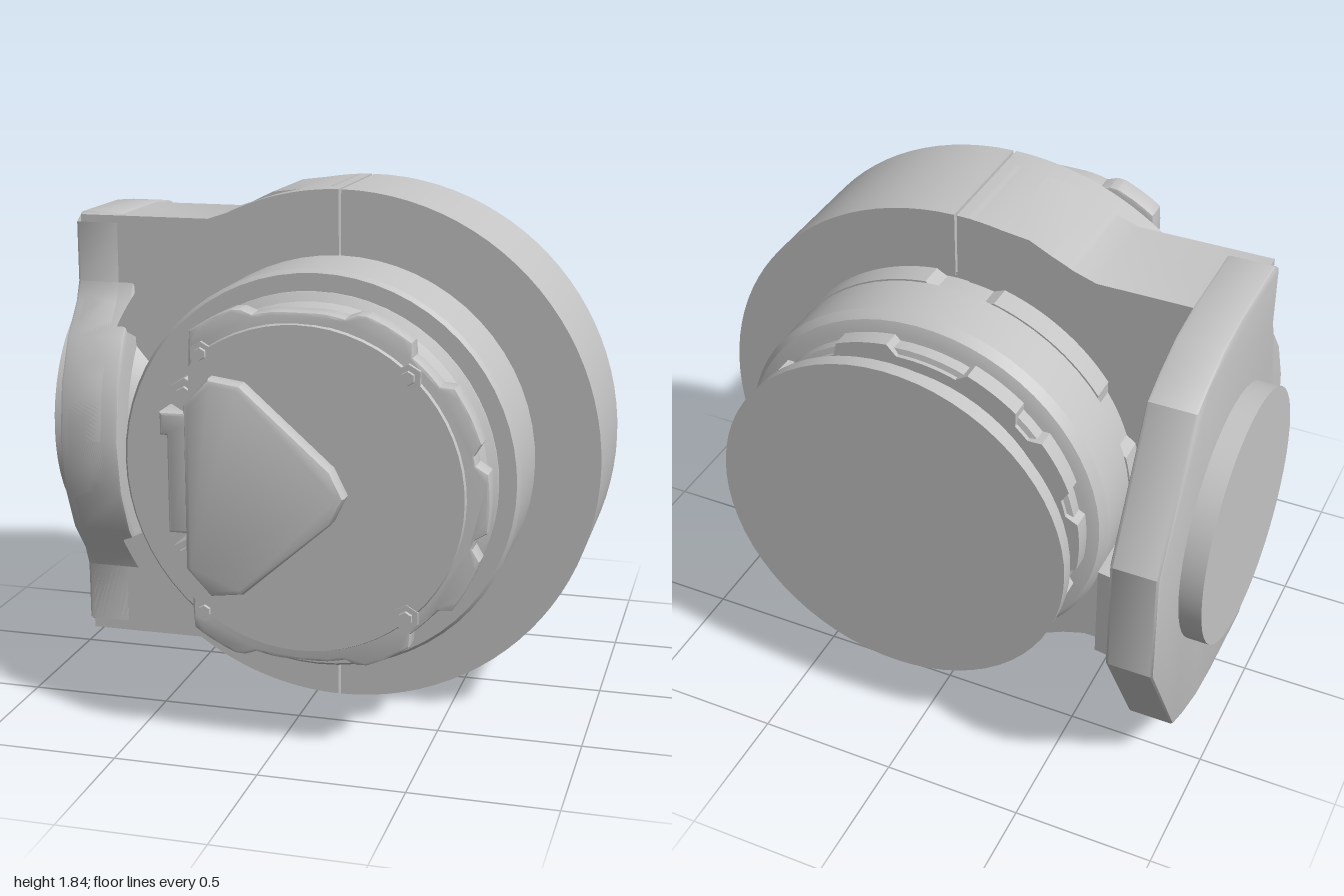
import * as THREE from 'three';
import { toCreasedNormals } from 'three/addons/utils/BufferGeometryUtils.js';

const CX = 0.087, CY = 0.92; // barrel axis, running along z
const PLATE_Z = -0.2; // centre of the side mount

export function createModel() {
  const model = new THREE.Group();
  const grey = new THREE.MeshStandardMaterial({ color: 0xc4c4c4 });
  grey.name = 'light grey metal';

  const add = (name, geometry, x = 0, y = 0, z = 0) => {
    const mesh = new THREE.Mesh(toCreasedNormals(geometry, 0.5), grey);
    mesh.name = name;
    mesh.position.set(x, y, z);
    model.add(mesh);
  };
  const polygon = (points) => new THREE.Shape(points.map(([x, y]) => new THREE.Vector2(x, y)));
  const extrude = (shape, depth, bevel = 0) => new THREE.ExtrudeGeometry(shape, {
    depth: depth - 2 * bevel, curveSegments: 24, bevelEnabled: bevel > 0,
    bevelThickness: bevel, bevelSize: bevel, bevelOffset: -bevel, bevelSegments: 2,
  }).translate(0, 0, bevel);
  // Solid of revolution about z from [radius, z] pairs in order of rising z
  const turned = (profile) => new THREE.LatheGeometry(
    profile.map(([r, z]) => new THREE.Vector2(r, z)), 64).rotateX(Math.PI / 2);
  // Flatten the left side and the top and bottom of a round part
  const clamp = (geometry, left, half) => {
    const p = geometry.attributes.position;
    for (let i = 0; i < p.count; i++) {
      p.setX(i, Math.max(p.getX(i), left));
      p.setY(i, THREE.MathUtils.clamp(p.getY(i), -half, half));
    }
    return geometry;
  };
  // Circle with raised lugs at the given angles (degrees)
  const luggedCircle = (inner, outer, lugs, width, left = -2, half = 2) => {
    const pts = [];
    for (let a = 0; a < 360; a += 3) {
      const onLug = lugs.some((l) => Math.abs(((a - l + 540) % 360) - 180) <= width / 2);
      const r = onLug ? outer : inner, t = THREE.MathUtils.degToRad(a);
      pts.push([Math.max(r * Math.cos(t), left), THREE.MathUtils.clamp(r * Math.sin(t), -half, half)]);
    }
    return polygon(pts);
  };

  // Main barrel, front to rear
  add('barrel', turned([[0, -0.53], [0.63, -0.53], [0.67, -0.515], [0.69, -0.48], [0.69, -0.295],
    [0.67, -0.29], [0.67, -0.2], [0.692, -0.2], [0.692, 0.555], [0.68, 0.572], [0, 0.572]]), CX, CY);

  // Clamp ring: right half, and left half broken where the mount joins
  const ringPart = (from, to) => {
    const a = THREE.MathUtils.degToRad(from), b = THREE.MathUtils.degToRad(to);
    const s = new THREE.Shape();
    s.absarc(0, 0, 0.918, a, b, false);
    s.absarc(0, 0, 0.68, b, a, true);
    return extrude(s, 0.475);
  };
  add('rightClampHalf', ringPart(-89.7, 89.7), CX, CY, -0.205);
  add('upperLeftClamp', ringPart(90.3, 154), CX, CY, -0.205);
  add('lowerLeftClamp', ringPart(206, 269.7), CX, CY, -0.205);

  // Rear collars and end disc
  add('rearCollar', extrude(luggedCircle(0.67, 0.695, [5, 65, 125, 185, 245, 305], 42), 0.09), CX, CY, -0.294);
  add('rearLugRing', extrude(luggedCircle(0.59, 0.63, [0, 30, 75, 120, 150, 180, 210, 240, 285, 330], 18), 0.065), CX, CY, -0.595);
  add('rearNeck', turned([[0, -0.68], [0.56, -0.68], [0.56, -0.665], [0.575, -0.66], [0.575, -0.625],
    [0.55, -0.615], [0.55, -0.59], [0.61, -0.575], [0.61, -0.52], [0, -0.52]]), CX, CY);
  add('rearDisc', turned([[0, -0.75], [0.643, -0.75], [0.643, -0.7], [0.61, -0.675], [0, -0.675]]), CX, CY);

  // Front neck and cover, flattened on one side
  add('frontNeck', clamp(turned([[0, 0.56], [0.625, 0.56], [0.62, 0.575], [0.59, 0.595], [0.575, 0.63],
    [0.575, 0.72], [0, 0.72]]), -0.375, 0.62), CX, CY);
  add('coverRim', extrude(luggedCircle(0.595, 0.63, [0, 28, 62, 118, 242, 298, 332], 21, -0.375, 0.59), 0.085, 0.01), CX, CY, 0.7);
  add('cover', clamp(turned([[0, 0.77], [0.56, 0.77], [0.55, 0.798], [0, 0.798]]), -0.37, 0.555), CX, CY);
  add('coverBoss', extrude(polygon([[-0.285, 0.64], [-0.2, 0.55], [-0.09, 0.565], [0.21, 0.83], [0.255, 0.92],
    [0.21, 1.01], [-0.09, 1.275], [-0.2, 1.29], [-0.285, 1.2]]), 0.08, 0.02), 0, 0, 0.78);

  // Hinge bar with bolts, and cover screws
  add('hingeBar', extrude(polygon([[-0.28, 0.71], [-0.4, 0.71], [-0.4, 1.05], [-0.425, 1.05],
    [-0.425, 1.13], [-0.28, 1.13]]), 0.13, 0.01), 0, 0, 0.57);
  const hex = (name, r, depth, x, y, z) => {
    add(name, new THREE.CylinderGeometry(r, r, depth, 6).rotateX(Math.PI / 2), x, y, z);
    add(name + 'Head', new THREE.CylinderGeometry(r * 0.5, r * 0.55, 0.01, 6).rotateX(Math.PI / 2), x, y, z + depth / 2 + 0.005);
  };
  for (const side of [-1, 1]) {
    hex('hingeBolt', 0.058, 0.16, -0.325, CY + side * 0.278, 0.64);
    hex('coverScrewLeft', 0.04, 0.08, -0.24, CY + side * 0.44, 0.758);
    hex('coverScrewRight', 0.045, 0.08, 0.45, CY + side * 0.4, 0.762);
  }

  // Side mount plate, drawn as [z, height above axis] and mirrored top to bottom
  const upper = [[-0.86, 0.21], [-0.6, 0.68], [-0.5, 0.725], [-0.36, 0.77], [-0.2, 0.787], [0.13, 0.787],
    [0.18, 0.755], [0.18, 0.54], [0.21, 0.47], [0.3, 0.36], [0.37, 0.2], [0.4, 0]];
  const sideways = (half, depth, bevel) => {
    const outline = [...half, ...half.slice(0, -1).reverse().map(([z, y]) => [z, -y])];
    return extrude(polygon(outline.map(([z, y]) => [-z, y])), depth, bevel).rotateY(Math.PI / 2);
  };
  add('mountPlate', sideways(upper, 0.17, 0.012), -0.92, CY + 0.005);
  add('mountHub', sideways(upper.slice(7), 0.2, 0.012), -0.9, CY + 0.005);
  add('mountDisc', new THREE.CylinderGeometry(0.457, 0.457, 0.1, 48).rotateZ(Math.PI / 2), -0.95, CY, PLATE_Z);
  add('plateTab', extrude(polygon([[-0.78, -0.86], [-0.71, -0.85], [-0.71, -0.56], [-0.78, -0.5]]), 0.34)
    .rotateX(Math.PI / 2), 0, 1.09, 0);

  // Housing joining plate and clamp ring
  const arm = [[-0.9, 0.787], [-0.42, 0.787], [-0.32, 0.82], [-0.18, 0.89], [0.04, 0.918], [0.04, 0.62], [-0.3, 0.46]];
  add('mountHousing', extrude(polygon([...arm, ...arm.slice().reverse().map(([x, y]) => [x, -y])]), 0.385), 0, CY, -0.205);
  // Half cone easing the hub into the barrel
  add('mountFlare', new THREE.CylinderGeometry(0.4, 0.5, 0.14, 32, 1, false, Math.PI * 1.5, Math.PI)
    .rotateZ(-Math.PI / 2), -0.64, CY, PLATE_Z);
  return model;
}
